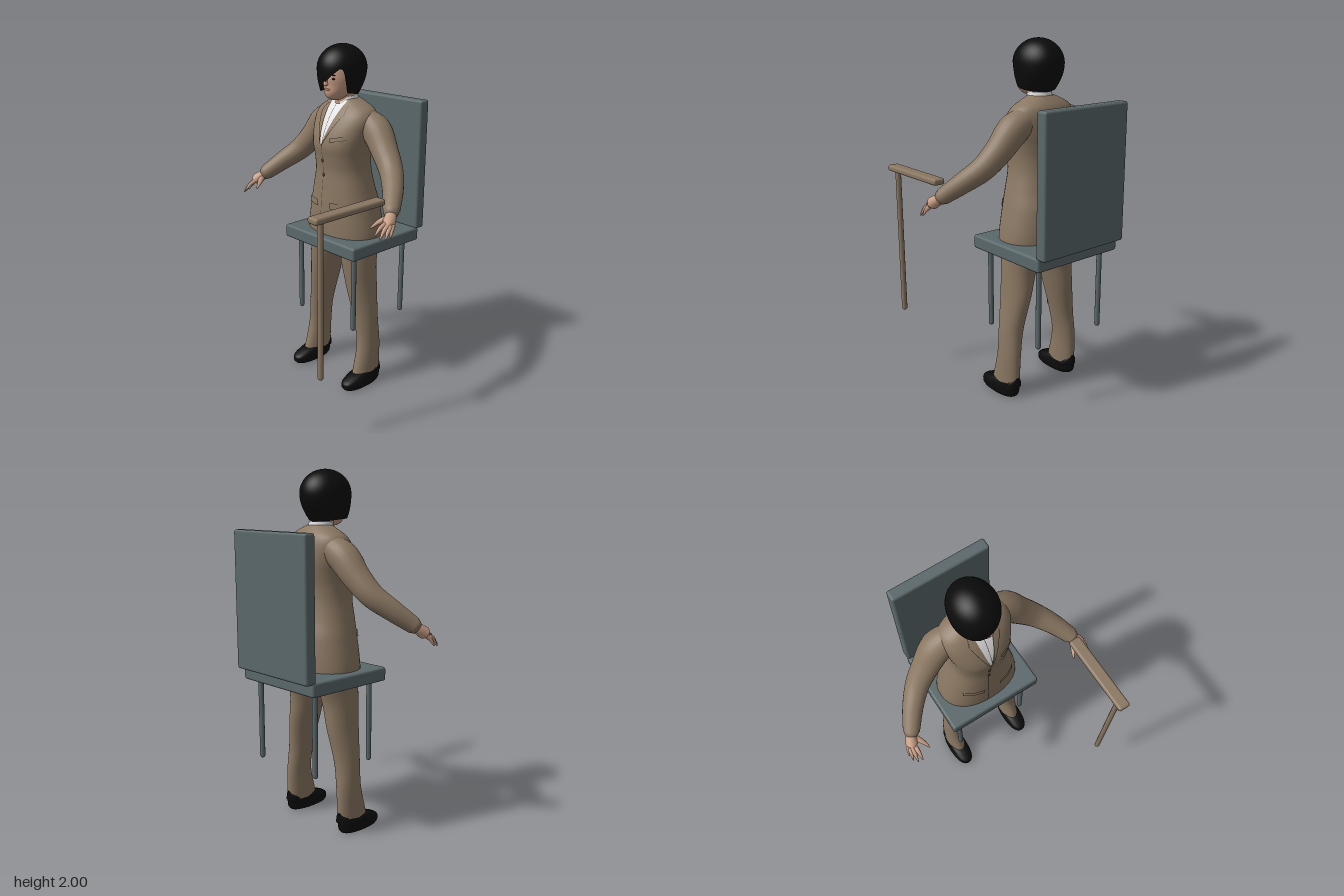
import * as THREE from 'three';
import { RoundedBoxGeometry } from 'three/addons/geometries/RoundedBoxGeometry.js';

const mat = (name, color, side = THREE.FrontSide) => {
  const m = new THREE.MeshStandardMaterial({ color, side });
  m.name = name;
  return m;
};

// Smooth lookup in a table of rows whose first entry is the height
function sample(rows, y) {
  let i = 0;
  while (i < rows.length - 2 && y > rows[i + 1][0]) i++;
  const a = rows[i], b = rows[i + 1], p = rows[i - 1] || a, n = rows[i + 2] || b;
  const h = b[0] - a[0], t = Math.min(1, Math.max(0, (y - a[0]) / h));
  return a.map((v, k) => {
    if (k === 0) return y;
    const m0 = (b[k] - p[k]) / (b[0] - p[0]) * h, m1 = (n[k] - v) / (n[0] - a[0]) * h;
    const t2 = t * t, t3 = t2 * t;
    return (2 * t3 - 3 * t2 + 1) * v + (t3 - 2 * t2 + t) * m0 + (3 * t2 - 2 * t3) * b[k] + (t3 - t2) * m1;
  });
}

// Surface grid from fn(u, v); closed wraps around u, caps fill both ends
function grid(nu, nv, fn, closed = false, caps = false) {
  const pos = [], idx = [], cols = closed ? nu : nu + 1;
  for (let j = 0; j <= nv; j++) for (let i = 0; i < cols; i++) pos.push(...fn(i / nu, j / nv));
  for (let j = 0; j < nv; j++) for (let i = 0; i < nu; i++) {
    const a = j * cols + i, b = j * cols + (i + 1) % cols;
    idx.push(a, b, b + cols, a, b + cols, a + cols);
  }
  if (caps) for (const j of [0, nv]) {
    const c = [0, 0, 0], start = pos.length / 3;
    for (let i = 0; i < cols; i++) {
      const q = pos.slice((j * cols + i) * 3, (j * cols + i) * 3 + 3);
      pos.push(...q);
      q.forEach((v, k) => { c[k] += v / cols; });
    }
    pos.push(...c);
    for (let i = 0; i < cols; i++) {
      const a = start + i, b = start + (i + 1) % cols;
      idx.push(...(j ? [a, b, start + cols] : [b, a, start + cols]));
    }
  }
  const g = new THREE.BufferGeometry();
  g.setAttribute('position', new THREE.Float32BufferAttribute(pos, 3));
  g.setIndex(idx);
  g.computeVertexNormals();
  return g;
}

// Loft through rows [y, centre x, half width, front z, back z]
const spow = (v, e) => Math.sign(v) * Math.abs(v) ** e;
function loft(rows, e = 1, nv = 40) {
  const y0 = rows[0][0], y1 = rows[rows.length - 1][0];
  return grid(40, nv, (u, v) => {
    const [y, cx, hw, zf, zb] = sample(rows, y0 + (y1 - y0) * v), a = u * Math.PI * 2;
    return [cx + hw * spow(Math.sin(a), e), y, (zf + zb) / 2 + (zf - zb) / 2 * spow(Math.cos(a), e)];
  }, true, true);
}

// Tube along points with a radius at each point
function limb(points, radii, seg = 28, sides = 18) {
  const curve = new THREE.CatmullRomCurve3(points.map(p => new THREE.Vector3(...p)));
  const g = new THREE.TubeGeometry(curve, seg, 1, sides), p = g.attributes.position, v = new THREE.Vector3();
  const table = radii.map((r, i) => [i / (radii.length - 1), r]);
  for (let j = 0; j <= seg; j++) {
    const c = curve.getPointAt(j / seg), r = sample(table, curve.getUtoTmapping(j / seg))[1];
    for (let i = 0; i <= sides; i++) {
      const k = j * (sides + 1) + i;
      v.fromBufferAttribute(p, k).sub(c).multiplyScalar(r).add(c);
      p.setXYZ(k, v.x, v.y, v.z);
    }
  }
  return g;
}

const TORSO = [
  [0.86, 0, 0.235, -0.01, -0.34], [0.93, 0, 0.245, 0, -0.35], [1.1, 0, 0.212, 0, -0.338],
  [1.2, 0, 0.187, -0.005, -0.312], [1.3, 0, 0.165, -0.01, -0.295], [1.38, 0, 0.163, 0, -0.292],
  [1.45, 0, 0.172, 0.01, -0.3], [1.52, 0, 0.188, -0.006, -0.306], [1.6, 0, 0.2, -0.045, -0.3],
  [1.65, 0, 0.178, -0.08, -0.285], [1.68, 0, 0.128, -0.105, -0.262], [1.705, 0, 0.072, -0.12, -0.238],
];
const TORSO_E = 0.88;

export function createModel() {
  const root = new THREE.Group();
  const tan = mat('tanSuit', 0x8a7762), seam = mat('darkSeam', 0x4a3f34, THREE.DoubleSide);
  const tanPlate = mat('tanPlate', 0x8a7762, THREE.DoubleSide);
  const grey = mat('slateGrey', 0x5b686b), skin = mat('skin', 0xc69c84), lips = mat('lips', 0xa8705f);
  const white = mat('whiteShirt', 0xe2e2e2, THREE.DoubleSide), black = mat('black', 0x0b0b0b, THREE.DoubleSide);
  const add = (name, geo, m, x = 0, y = 0, z = 0) => {
    const mesh = new THREE.Mesh(geo, m);
    mesh.name = name;
    mesh.position.set(x, y, z);
    root.add(mesh);
    return mesh;
  };
  const ball = (name, m, x, y, z, sx, sy, sz) =>
    add(name, new THREE.SphereGeometry(1, 20, 14), m, x, y, z).scale.set(sx, sy, sz);

  // Chair
  add('seat', new RoundedBoxGeometry(0.585, 0.078, 0.545, 3, 0.014), grey, 0, 0.887, -0.222);
  add('chairBack', new RoundedBoxGeometry(0.585, 0.765, 0.068, 3, 0.014), grey, 0, 1.3, -0.506);
  for (const x of [-0.227, 0.227]) for (const z of [-0.02, -0.427])
    add('chairLeg', new THREE.CapsuleGeometry(0.015, 0.46, 4, 14), grey, x, 0.625, z);

  // Stick with a flat handle
  add('stickHandle', new RoundedBoxGeometry(0.07, 0.036, 0.48, 3, 0.014), tan, 0.5, 1.259, 0.302);
  add('stickPost', new THREE.CapsuleGeometry(0.016, 0.84, 4, 14), tan, 0.5, 0.816, 0.485);

  // Jacket body
  add('jacket', loft(TORSO, TORSO_E, 70), tan);
  const frontZ = (x, y) => {
    const [, , hw, zf, zb] = sample(TORSO, y), q = Math.min(1, Math.abs(x) / hw) ** (1 / TORSO_E);
    return (zf + zb) / 2 + (zf - zb) / 2 * Math.sqrt(1 - q * q) ** TORSO_E;
  };
  // Thin plate lying on the jacket front between two edges
  const patch = (name, m, y0, y1, xl, xr, off, slant = 0) => add(name, grid(10, 20, (u, v) => {
    const yy = y0 + (y1 - y0) * v, a = xl(v), b = xr(v), x = a + (b - a) * u, y = yy + slant * u;
    return [x, y, frontZ(x, y) + off];
  }), m);
  const shirtW = v => 0.058 * v ** 0.85;
  patch('shirtFront', white, 1.45, 1.7, v => -0.012 - shirtW(v) + 0.012 * v, v => -0.012 + shirtW(v) + 0.012 * v, 0.004);
  patch('shirtPlacket', seam, 1.47, 1.67, () => -0.006, () => -0.003, 0.006);
  for (const s of [-1, 1]) {
    const inner = v => -0.012 + 0.012 * v + s * shirtW(v * 0.9);
    const outer = v => inner(v) + s * (v < 0.8 ? 0.055 * v : 0.044 - 0.09 * (v - 0.8));
    patch('lapel', tanPlate, 1.45, 1.675, inner, outer, 0.008);
    patch('lapelEdge', seam, 1.45, 1.675, outer, v => outer(v) + s * 0.003, 0.006);
    patch('pocketFlap', tanPlate, 1.095, 1.13, () => s * 0.05, () => s * 0.165, 0.008);
    patch('pocketEdge', seam, 1.091, 1.095, () => s * 0.05, () => s * 0.165, 0.006);
  }
  patch('breastPocket', tanPlate, 1.482, 1.502, () => 0.05, () => 0.14, 0.009, 0.018);
  patch('breastPocketEdge', seam, 1.479, 1.482, () => 0.05, () => 0.14, 0.007, 0.018);
  patch('jacketOpening', seam, 0.93, 1.45, v => -0.032 + 0.02 * v, v => -0.029 + 0.02 * v, 0.003);
  for (const y of [1.28, 1.365]) ball('button', seam, -0.014, y, frontZ(0, y) + 0.003, 0.009, 0.009, 0.004);

  // Shirt collar and neck
  add('neck', loft([[1.62, 0, 0.055, -0.1, -0.22], [1.7, 0, 0.054, -0.095, -0.215], [1.78, 0, 0.055, -0.08, -0.21]]), skin);
  add('shirtCollar', grid(40, 6, (u, v) => {
    const a = 0.3 + u * (Math.PI * 2 - 0.6), w = 0.072 - 0.008 * v;
    return [w * Math.sin(a), 1.675 + 0.05 * v - 0.018 * v * Math.max(0, Math.cos(a)), -0.168 + (w + 0.002) * Math.cos(a)];
  }), white);

  // Sleeves, hands, trousers and shoes, mirrored
  for (const s of [-1, 1]) {
    const m = pts => pts.map(([x, y, z]) => [s * x, y, z]);
    add('sleeve', limb(m([[0.1, 1.59, -0.2], [0.16, 1.57, -0.2], [0.215, 1.535, -0.198], [0.29, 1.442, -0.182],
      [0.37, 1.352, -0.15], [0.45, 1.275, -0.08], [0.522, 1.195, 0.008]]),
      [0.055, 0.078, 0.085, 0.075, 0.066, 0.057, 0.046], 40, 24), tan);
    ball('sleeveEnd', tan, s * 0.52, 1.197, 0.006, 0.043, 0.043, 0.043);
    add('palm', limb(m([[0.515, 1.2, 0.0], [0.538, 1.175, 0.03], [0.555, 1.152, 0.06], [0.564, 1.138, 0.078]]),
      [0.03, 0.031, 0.033, 0.008]), skin);
    const tips = [[0.596, 1.085, 0.09], [0.59, 1.08, 0.122], [0.572, 1.083, 0.145], [0.546, 1.1, 0.155]];
    const bases = [[0.575, 1.142, 0.05], [0.572, 1.14, 0.065], [0.562, 1.143, 0.077], [0.545, 1.148, 0.08]];
    tips.forEach((t, i) => {
      const b = bases[i], mid = t.map((v, k) => (v + b[k]) / 2 + (k === 1 ? 0.008 : 0));
      add('finger', limb(m([b, mid, t]), [0.013, 0.011, 0.003], 12, 10), skin);
    });
    add('thumb', limb(m([[0.53, 1.17, 0.035], [0.498, 1.145, 0.08], [0.48, 1.118, 0.118]]), [0.02, 0.013, 0.004], 12, 10), skin);

    add('trouserLeg', loft([[0.07, s * 0.218, 0.053, -0.04, -0.245], [0.25, s * 0.213, 0.055, -0.083, -0.245],
      [0.4, s * 0.195, 0.063, -0.08, -0.24], [0.6, s * 0.158, 0.074, -0.055, -0.262],
      [0.75, s * 0.135, 0.087, -0.04, -0.272], [0.9, s * 0.115, 0.1, -0.03, -0.32]]), tan);
    add('shoe', loft([[0, s * 0.221, 0.054, 0.036, -0.225], [0.015, s * 0.221, 0.061, 0.046, -0.235],
      [0.045, s * 0.221, 0.06, 0.04, -0.24], [0.07, s * 0.22, 0.055, -0.01, -0.243],
      [0.085, s * 0.219, 0.05, -0.06, -0.244]], 0.85), black);
    add('shoeHeel', loft([[0.06, s * 0.218, 0.05, -0.15, -0.248], [0.09, s * 0.218, 0.04, -0.17, -0.248],
      [0.12, s * 0.218, 0.016, -0.2, -0.249]]), black);
  }

  // Head and face
  add('head', loft([[1.7, 0, 0.02, -0.06, -0.11], [1.715, 0, 0.042, -0.03, -0.16], [1.74, 0, 0.062, -0.018, -0.19],
    [1.78, 0, 0.078, -0.018, -0.215], [1.83, 0, 0.086, -0.016, -0.24], [1.9, 0, 0.08, -0.035, -0.24],
    [1.96, 0, 0.04, -0.09, -0.19]]), skin);
  add('nose', limb([[0, 1.835, -0.018], [0, 1.81, -0.012], [0, 1.792, -0.008]], [0.006, 0.009, 0.012], 10, 12), skin);
  ball('noseTip', skin, 0, 1.793, -0.01, 0.014, 0.011, 0.012);
  ball('mouth', lips, 0, 1.762, -0.02, 0.022, 0.007, 0.006);
  for (const x of [-0.04, 0.042]) {
    ball('eye', black, x, 1.822, -0.028, 0.014, 0.005, 0.004);
    ball('eyebrow', black, x, 1.842, -0.027, 0.018, 0.003, 0.004);
  }

  // Bobbed hair: the lower edge sweeps across the face
  const EDGE = [[-Math.PI, 1.72], [-1.6, 1.735], [-0.7, 1.74], [-0.38, 1.748], [0.8, 1.878], [0.95, 1.87],
    [1.12, 1.745], [1.6, 1.735], [Math.PI, 1.72]];
  const edge = a => {
    const i = Math.max(1, EDGE.findIndex(e => a <= e[0])), [a0, y0] = EDGE[i - 1], [a1, y1] = EDGE[i];
    return y0 + (y1 - y0) * (a - a0) / (a1 - a0);
  };
  add('hair', grid(96, 36, (u, v) => {
    const a = (u * 2 - 1) * Math.PI, low = edge(a), y = low + (2 - low) * Math.sin(v * Math.PI / 2);
    const t = (y - 1.87) / (y > 1.87 ? 0.13 : 0.24), r = Math.sqrt(Math.max(0, 1 - t * t));
    const c = Math.cos(a), back = c < 0 && y < 1.87 ? 1 - 0.42 * ((1.87 - y) / 0.15) ** 2 : 1;
    return [-0.012 + 0.128 * r * Math.sin(a), y, -0.145 + 0.15 * r * c * back];
  }, true), black);

  return root;
}
